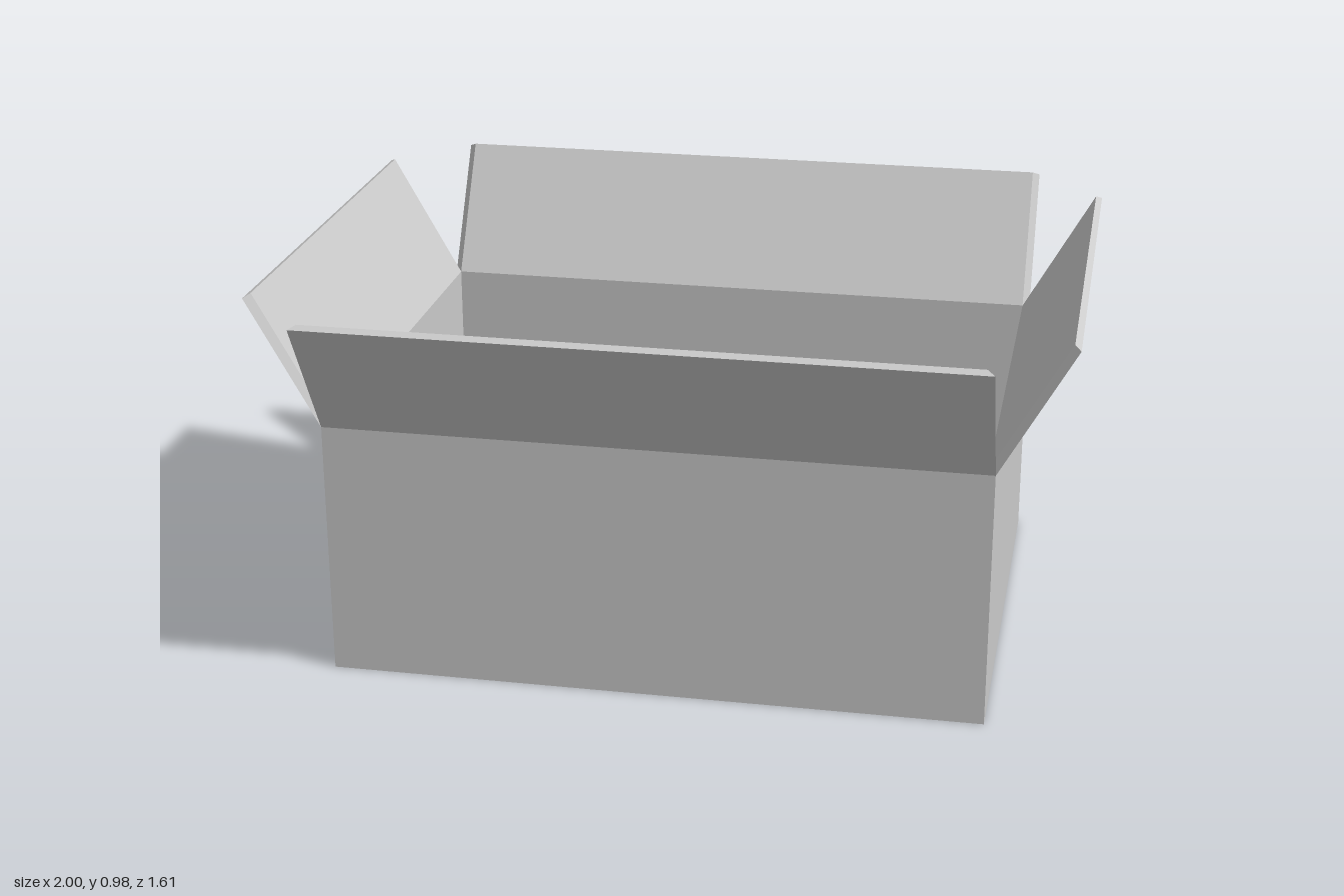
import * as THREE from 'three';

const HALF_X = 0.82, HALF_Z = 0.61, T = 0.018;
const HINGE_Y = 0.655, RISE = 0.32;

const material = new THREE.MeshStandardMaterial({ color: 0xcccccc, flatShading: true });

// Mitred panel facing +z: each profile point is [z, y], the inner face is narrower by T at both ends
function panel(name, halfWidth, { outLow, outHigh, inLow, inHigh }) {
  const geometry = new THREE.BoxGeometry(2, 2, 2);
  const pos = geometry.attributes.position;
  for (let i = 0; i < pos.count; i++) {
    const outer = pos.getZ(i) > 0, high = pos.getY(i) > 0;
    const [z, y] = outer ? (high ? outHigh : outLow) : (high ? inHigh : inLow);
    pos.setXYZ(i, Math.sign(pos.getX(i)) * (outer ? halfWidth : halfWidth - T), y, z);
  }
  geometry.computeVertexNormals();
  const mesh = new THREE.Mesh(geometry, material);
  mesh.name = name;
  return mesh;
}

// One side of the box: an upright wall with a flap folded outwards from its top edge
function side(name, halfWidth, depth, reach, angle) {
  const length = Math.hypot(reach, RISE);
  const nz = -RISE / length * T, ny = reach / length * T; // inward offset of the flap
  const hingeOut = [depth, HINGE_Y];
  const hingeIn = [depth - T, HINGE_Y + ny - (T + nz) * RISE / reach];
  const tipOut = [depth + reach, HINGE_Y + RISE];
  const tipIn = [tipOut[0] + nz, tipOut[1] + ny];

  const group = new THREE.Group();
  group.name = name + 'Side';
  group.add(
    panel(name + 'Wall', halfWidth, {
      outLow: [depth, 0], inLow: [depth - T, 0], outHigh: hingeOut, inHigh: hingeIn,
    }),
    panel(name + 'Flap', halfWidth, {
      outLow: hingeOut, inLow: hingeIn, outHigh: tipOut, inHigh: tipIn,
    }),
  );
  group.rotation.y = angle;
  return group;
}

export function createModel() {
  const model = new THREE.Group();
  model.name = 'openBox';

  // Four walls with their flaps
  model.add(
    side('front', HALF_X, HALF_Z, 0.195, 0),
    side('left', HALF_Z, HALF_X, 0.18, Math.PI / 2),
    side('back', HALF_X, HALF_Z, 0.195, Math.PI),
    side('right', HALF_Z, HALF_X, 0.18, -Math.PI / 2),
  );

  // Floor between the walls
  const floor = new THREE.Mesh(
    new THREE.BoxGeometry(2 * (HALF_X - T), T, 2 * (HALF_Z - T)), material);
  floor.name = 'floor';
  floor.position.y = T / 2;
  model.add(floor);

  return model;
}
